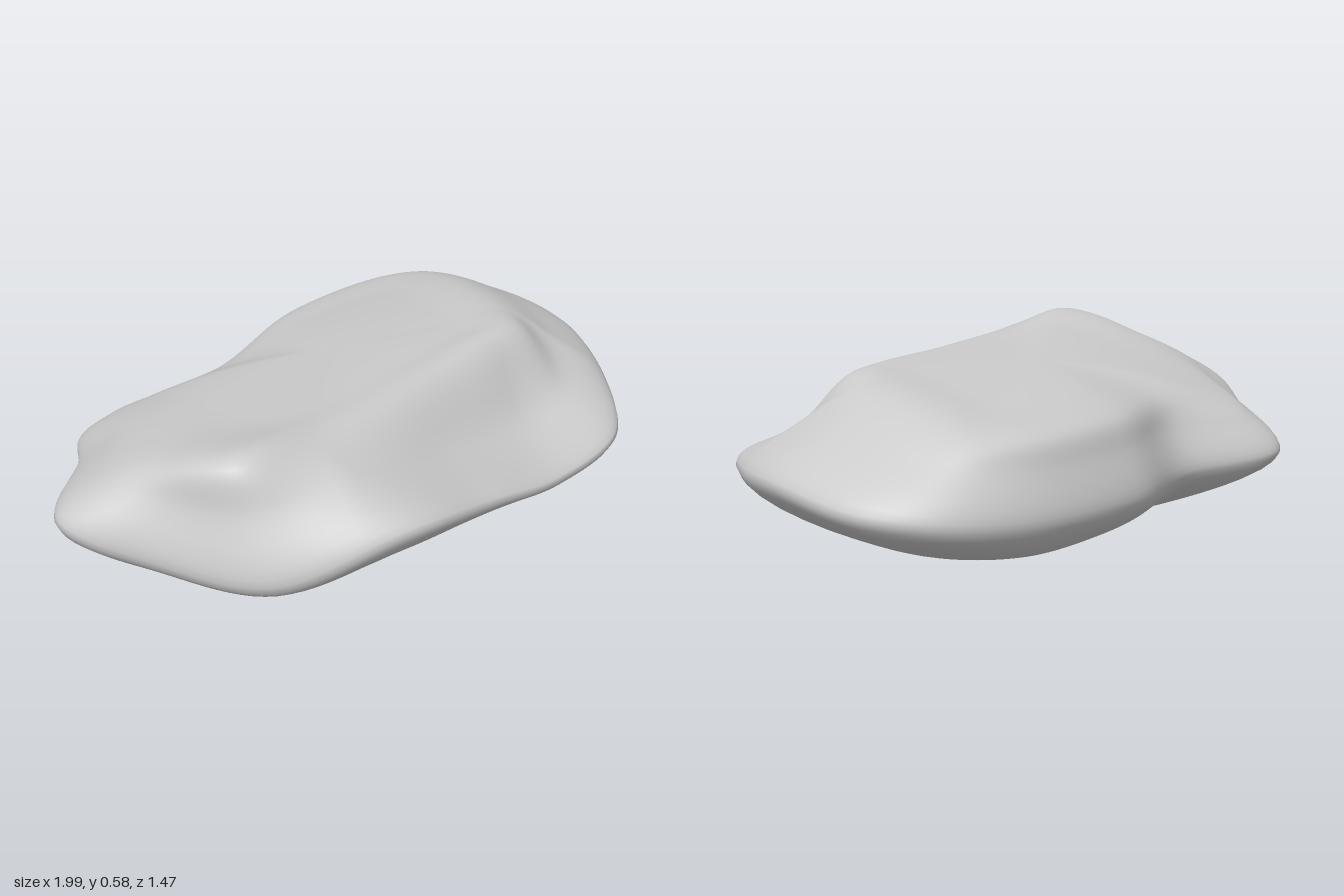
import * as THREE from 'three';

const V = (x, y, z) => new THREE.Vector3(x, y, z);
const loop = (pts) => new THREE.CatmullRomCurve3(pts.map((p) => V(...p)), true, 'centripetal');

// Three matching loops [x, y, z], from the pointed side around the front
const rim = loop([
  [-0.993, 0.3, 0.17], [-0.78, 0.23, 0.38], [-0.51, 0.23, 0.635], [-0.15, 0.375, 0.73],
  [0.2, 0.31, 0.615], [0.5, 0.24, 0.51], [0.8, 0.245, 0.37], [0.945, 0.27, 0.08],
  [0.993, 0.3, -0.22], [0.935, 0.28, -0.54], [0.78, 0.26, -0.685], [0.5, 0.23, -0.735],
  [0.05, 0.2, -0.65], [-0.3, 0.18, -0.46], [-0.74, 0.19, -0.435], [-0.83, 0.24, -0.2],
]);
const topEdge = loop([
  [-0.68, 0.5, 0.2], [-0.65, 0.54, 0.37], [-0.53, 0.573, 0.47], [-0.22, 0.545, 0.39],
  [0.18, 0.54, 0.22], [0.46, 0.54, 0.11], [0.6, 0.537, 0.03], [0.63, 0.53, -0.09],
  [0.63, 0.52, -0.25], [0.62, 0.49, -0.46], [0.58, 0.455, -0.6], [0.44, 0.44, -0.645],
  [0.05, 0.43, -0.55], [-0.3, 0.4, -0.34], [-0.6, 0.37, -0.29], [-0.67, 0.43, -0.08],
]);
const bottomEdge = loop([
  [-0.62, 0.065, 0.12], [-0.52, 0.08, 0.25], [-0.35, 0.11, 0.4], [-0.1, 0.125, 0.45],
  [0.2, 0.085, 0.3], [0.46, 0.06, 0.14], [0.6, 0.05, 0.05], [0.62, 0.05, -0.08],
  [0.61, 0.06, -0.25], [0.6, 0.09, -0.46], [0.55, 0.115, -0.6], [0.42, 0.115, -0.64],
  [0.05, 0.085, -0.52], [-0.3, 0.03, -0.26], [-0.48, 0.01, -0.18], [-0.56, 0.025, -0.05],
]);

const AROUND = 160, ALONG = 72;
const CENTRE_Z = -0.08;

// Gentle slopes of the two broad faces near their centres
const topPlane = (x, z) => 0.525 + 0.03 * x + 0.1 * (z - CENTRE_Z);
const bottomPlane = (x, z) => 0.028 + 0.04 * x + 0.02 * (z - CENTRE_Z);

// Point on a broad face: s runs from centre to edge, w blends the slope into the edge height
function facePoint(edge, plane, s, w) {
  const x = edge.x * s, z = THREE.MathUtils.lerp(CENTRE_Z, edge.z, s);
  const rise = edge.y - plane(edge.x, edge.z);
  return V(x, plane(x, z) + rise * w, z);
}

// Vertical profile at one place around the rim, from the underside centre to the top centre
function profile(u) {
  const r = rim.getPoint(u), t = topEdge.getPoint(u), b = bottomEdge.getPoint(u);
  // Hollow shelf below the front edge of the top, fading out to both sides
  const hollow = Math.max(0, 1 - ((u * 16 - 4.9) / 2.1) ** 2);
  const shelf = r.clone().lerp(t, 0.55);
  shelf.y += 0.025 - 0.09 * hollow;
  return new THREE.CatmullRomCurve3([
    facePoint(b, bottomPlane, 0, 0), facePoint(b, bottomPlane, 0.3, 0.07),
    facePoint(b, bottomPlane, 0.65, 0.4), b, r, shelf, t,
    facePoint(t, topPlane, 0.65, 0.4), facePoint(t, topPlane, 0.3, 0.07), facePoint(t, topPlane, 0, 0),
  ], false, 'centripetal');
}

function slabGeometry() {
  const pos = [], index = [];
  for (let i = 0; i < AROUND; i++) {
    const c = profile(i / AROUND);
    for (let j = 1; j < ALONG; j++) pos.push(...c.getPoint(j / ALONG).toArray());
  }
  const n = ALONG - 1, low = AROUND * n, high = low + 1;
  pos.push(0, bottomPlane(0, CENTRE_Z), CENTRE_Z, 0, topPlane(0, CENTRE_Z), CENTRE_Z);
  for (let i = 0; i < AROUND; i++) {
    const a = i * n, b = ((i + 1) % AROUND) * n;
    index.push(low, b, a, high, a + n - 1, b + n - 1);
    for (let j = 0; j < n - 1; j++) index.push(a + j, b + j, b + j + 1, a + j, b + j + 1, a + j + 1);
  }
  const g = new THREE.BufferGeometry();
  g.setAttribute('position', new THREE.Float32BufferAttribute(pos, 3));
  g.setIndex(index);
  // Stand it centred on the ground
  g.center();
  g.translate(0, -g.boundingBox.min.y, 0);
  g.computeVertexNormals();
  return g;
}

export function createModel() {
  const group = new THREE.Group();
  group.name = 'rock';
  const slab = new THREE.Mesh(slabGeometry(), new THREE.MeshStandardMaterial({ color: 0xcccccc }));
  slab.name = 'rockSlab';
  group.add(slab);
  return group;
}
